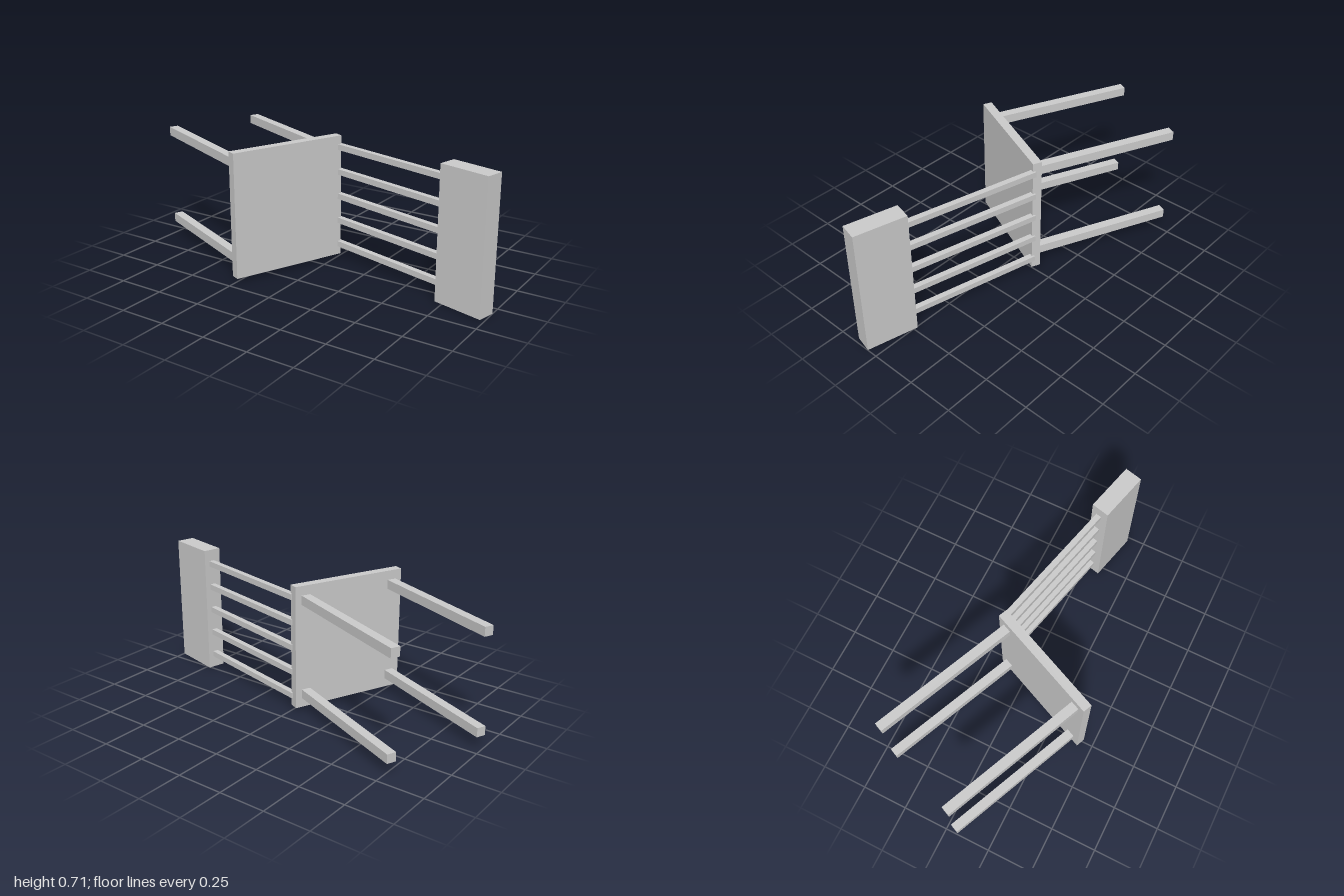
import * as THREE from 'three';

// A square-legged chair lying on its side, so its width runs along y.
export function createModel() {
  const model = new THREE.Group();
  model.name = 'chair';
  const grey = new THREE.MeshStandardMaterial({ color: 0xcccccc });
  grey.name = 'plain grey';
  const midY = 0.355;

  function box(parent, name, size, position) {
    const mesh = new THREE.Mesh(new THREE.BoxGeometry(...size), grey);
    mesh.name = name;
    mesh.position.set(...position);
    parent.add(mesh);
  }

  // Seat and legs share one tilt: local x is the leg direction, z the seat depth
  const base = new THREE.Group();
  base.name = 'seatAndLegs';
  base.position.set(-0.136, midY, 0.142);
  base.rotation.y = -THREE.MathUtils.degToRad(23.7);
  model.add(base);

  const seatThickness = 0.049;
  box(base, 'seat', [seatThickness, 0.67, 0.64], [0, 0, 0]);

  const legLength = 0.795;
  for (const side of [-1, 1]) {
    for (const end of [-1, 1]) {
      box(base, end > 0 ? 'frontLeg' : 'backLeg', [legLength, 0.049, 0.049],
        [-(seatThickness + legLength) / 2, side * 0.26, end * 0.26]);
    }
  }

  // Backrest leans away from the seat: local x runs from the seat to the top rail
  const back = new THREE.Group();
  back.name = 'backrest';
  back.position.set(0, midY, -0.14);
  back.rotation.y = -THREE.MathUtils.degToRad(13.8);
  model.add(back);

  const spindleLength = 0.76;
  for (let i = -2; i <= 2; i++) {
    box(back, 'spindle', [spindleLength, 0.031, 0.031], [spindleLength / 2, i * 0.137, 0]);
  }
  box(back, 'topRail', [0.278, 0.708, 0.098], [0.879, -0.001, 0.005]);

  return model;
}
